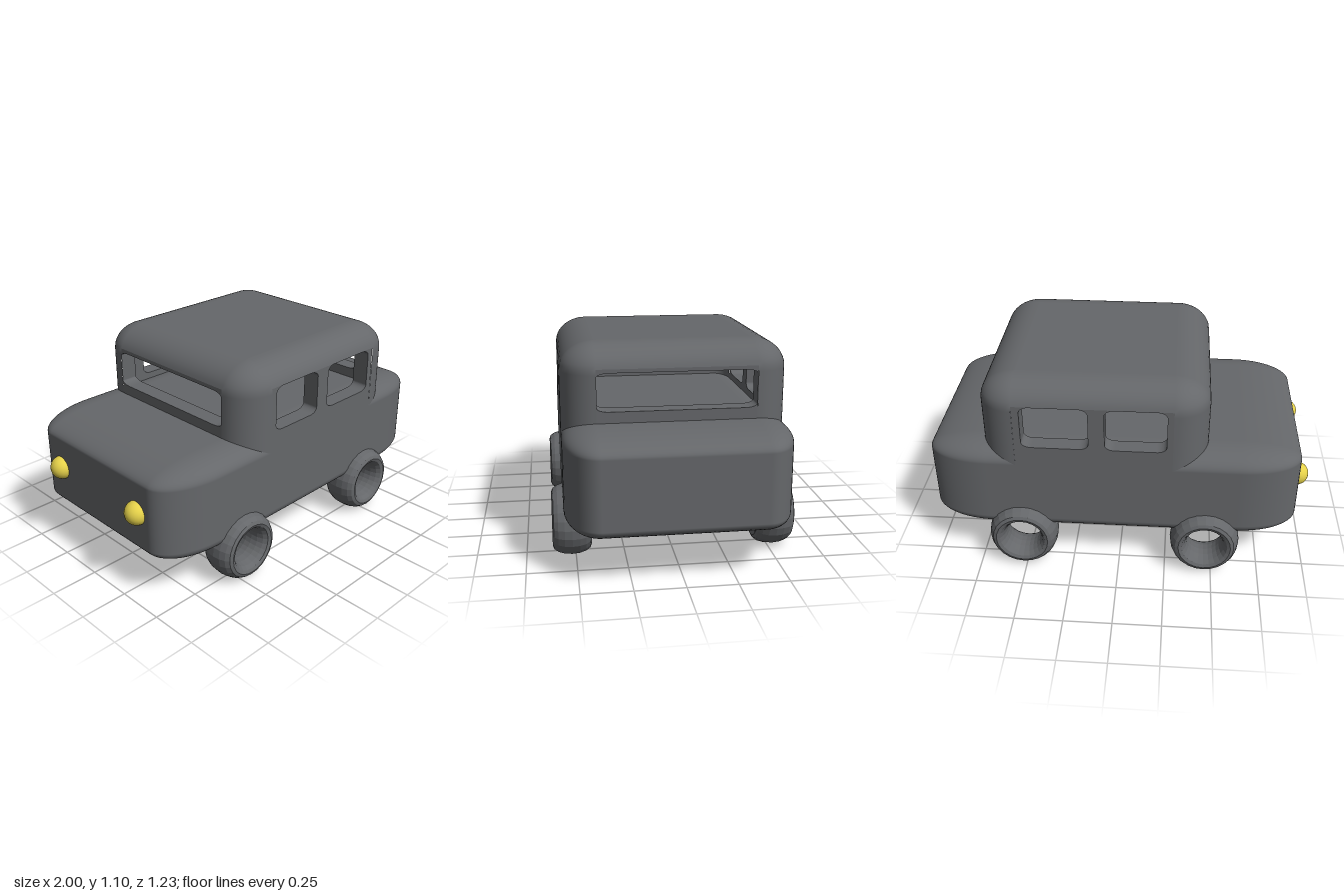
import * as THREE from 'three';
import { RoundedBoxGeometry } from 'three/addons/geometries/RoundedBoxGeometry.js';

const paint = new THREE.MeshStandardMaterial({ color: 0x65676a });
const rubber = new THREE.MeshStandardMaterial({ color: 0x65676a, flatShading: true });
const yellow = new THREE.MeshStandardMaterial({ color: 0xe6d24a });

// Cabin plan: a rounded rectangle whose corner arcs sit at (CX +- HX, +- HZ)
const CX = 0.125, HX = 0.4, HZ = 0.39, RX = 0.18, RZ = 0.17, WALL = 0.09;
const BASE = 0.62, EAVE = 0.99, TOP = 1.102, RISE = 0.14, ARC = 12;

function add(parent, name, geometry, material = paint) {
  const mesh = new THREE.Mesh(geometry, material);
  mesh.name = name;
  parent.add(mesh);
  return mesh;
}

// Share of the corner radius left at height y, where the roof edge curves in
const curveIn = (y) => Math.sqrt(1 - Math.min(1, Math.max(0, (y - TOP + RISE) / RISE)) ** 2);

// Loft of cabin rings; levels are [y, rx, rz]. Flat sides below the eave stay open for the wall panels.
function cabinLoft(levels, inward) {
  const pos = [], index = [], n = 4 * (ARC + 1);
  for (const [y, rx, rz] of levels) {
    for (let k = 0; k < 4; k++) {
      const sx = k === 0 || k === 3 ? 1 : -1, sz = k < 2 ? 1 : -1;
      for (let i = 0; i <= ARC; i++) {
        const a = (k + i / ARC) * Math.PI / 2;
        pos.push(CX + sx * HX + rx * Math.cos(a), y, sz * HZ + rz * Math.sin(a));
      }
    }
  }
  for (let r = 0; r < levels.length - 1; r++) {
    for (let i = 0; i < n; i++) {
      if (i % (ARC + 1) === ARC && levels[r][0] < EAVE) continue;
      const a = r * n + i, b = r * n + (i + 1) % n, c = a + n, d = b + n;
      if (inward) index.push(a, b, c, b, d, c);
      else index.push(a, c, b, b, c, d);
    }
  }
  const g = new THREE.BufferGeometry();
  g.setAttribute('position', new THREE.Float32BufferAttribute(pos, 3));
  g.setIndex(index);
  g.computeVertexNormals();
  return g;
}

// Window outline with elliptical corners
function windowHole(x0, x1, y0, y1, ex, ey) {
  const p = new THREE.Path();
  p.absellipse(x1 - ex, y1 - ey, ex, ey, 0, Math.PI / 2);
  p.absellipse(x0 + ex, y1 - ey, ex, ey, Math.PI / 2, Math.PI);
  p.absellipse(x0 + ex, y0 + ey, ex, ey, Math.PI, Math.PI * 1.5);
  p.absellipse(x1 - ex, y0 + ey, ex, ey, Math.PI * 1.5, Math.PI * 2);
  p.closePath();
  return p;
}

// Flat wall panel with windows, centred through its thickness and thinned where the roof edge begins
function wallPanel(x0, x1, holes, radius) {
  const s = new THREE.Shape();
  s.moveTo(x0, BASE).lineTo(x1, BASE).lineTo(x1, EAVE).lineTo(x0, EAVE).closePath();
  s.holes.push(...holes);
  const g = new THREE.ExtrudeGeometry(s, { depth: WALL, bevelEnabled: false, curveSegments: 8 });
  const p = g.attributes.position;
  for (let i = 0; i < p.count; i++) {
    const half = WALL / 2 - radius * (1 - curveIn(p.getY(i)));
    p.setZ(i, p.getZ(i) > WALL / 2 ? half : -half);
  }
  return g;
}

export function createModel() {
  const car = new THREE.Group();
  car.name = 'car';

  // Lower body: rounded box with stretched corner radii
  const [bx, by, bz] = [0.32, 0.09, 0.17];
  const body = new RoundedBoxGeometry(1.94 / bx, 0.522 / by, 1.12 / bz, 8, 1);
  body.scale(bx, by, bz).translate(0.03, 0.469, 0);
  add(car, 'body', body);

  // Hollow cabin
  const cabin = new THREE.Group();
  cabin.name = 'cabin';
  car.add(cabin);

  // Outer corner posts rising into the rounded roof edge
  const levels = [[BASE, RX, RZ], [TOP - RISE, RX, RZ]];
  const start = Math.asin((EAVE - TOP + RISE) / RISE);
  for (let i = 0; i <= 10; i++) {
    const a = start + (Math.PI / 2 - start) * i / 10, c = Math.cos(a);
    levels.push([i ? TOP - RISE + RISE * Math.sin(a) : EAVE, RX * c, RZ * c]);
  }
  add(cabin, 'cornersAndRoofEdge', cabinLoft(levels, false));
  add(cabin, 'innerCorners',
    cabinLoft([[BASE, RX - WALL, RZ - WALL], [EAVE, RX - WALL, RZ - WALL]], true));

  // Roof top and ceiling
  add(cabin, 'roof', new THREE.PlaneGeometry(2 * HX, 2 * HZ).rotateX(-Math.PI / 2).translate(CX, TOP, 0));
  add(cabin, 'ceiling', new THREE.PlaneGeometry(2 * (HX + RX - WALL + 0.01), 2 * (HZ + RZ - WALL + 0.01))
    .rotateX(Math.PI / 2).translate(CX, EAVE, 0));

  // Side walls with two windows each, end walls with one wide window
  for (const s of [1, -1]) {
    const holes = [windowHole(-0.243, 0.067, 0.755, 0.988, 0.05, 0.03),
      windowHole(0.149, 0.487, 0.755, 0.988, 0.05, 0.03)];
    add(cabin, s > 0 ? 'leftWall' : 'rightWall', wallPanel(CX - HX, CX + HX, holes, RZ))
      .position.z = s * (HZ + RZ - WALL / 2);
    const end = wallPanel(-HZ, HZ, [windowHole(-0.389, 0.389, 0.785, 0.972, 0.06, 0.02)], RX);
    add(cabin, s > 0 ? 'rearWall' : 'frontWall', end.rotateY(Math.PI / 2))
      .position.x = CX + s * (HX + RX - WALL / 2);
  }

  // Wheels: rings stretched along the axle
  for (const x of [-0.458, 0.513]) {
    for (const s of [1, -1]) {
      const ring = new THREE.TorusGeometry(0.138, 0.046, 16, 24).scale(1, 1, 2.13);
      add(car, 'wheel', ring, rubber).position.set(x, 0.185, s * 0.519);
    }
  }

  // Headlights
  for (const s of [1, -1]) {
    add(car, 'headlight', new THREE.SphereGeometry(0.062, 24, 16), yellow)
      .position.set(-0.938, 0.48, s * 0.31);
  }
  return car;
}
